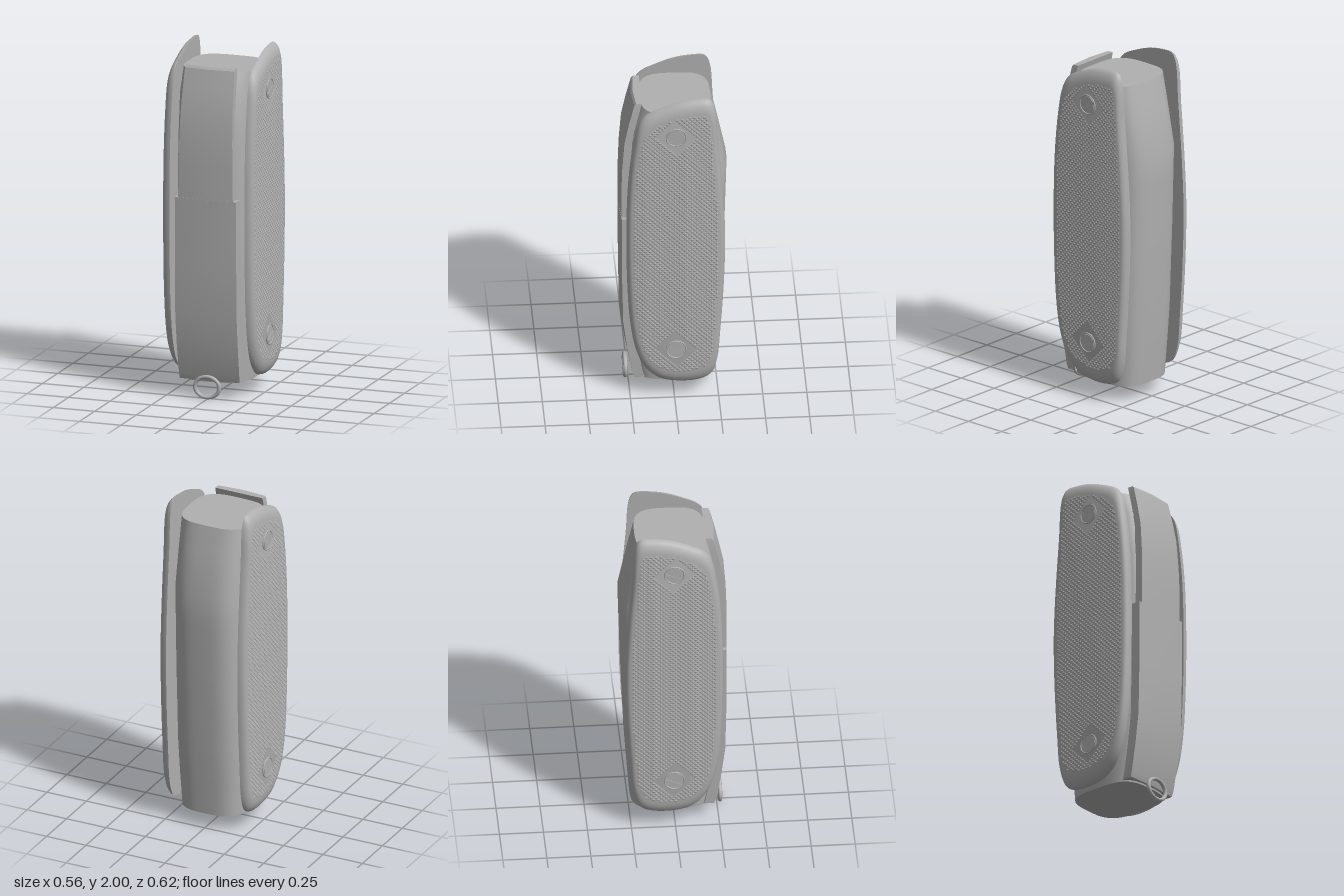
import * as THREE from 'three';
import { mergeGeometries, toCreasedNormals } from 'three/addons/utils/BufferGeometryUtils.js';

const grey = new THREE.MeshStandardMaterial({ color: 0xb0b0b0 });
grey.name = 'plain grey';

function add(parent, name, geometry) {
  const mesh = new THREE.Mesh(geometry, grey);
  mesh.name = name;
  parent.add(mesh);
  return mesh;
}

// Skin a stack of closed rings (counterclockwise seen from the last ring's end) and cap both ends.
function loft(rings, crease) {
  const n = rings[0].length, pos = [], index = [];
  rings.forEach(r => r.forEach(p => pos.push(p.x, p.y, p.z)));
  for (let k = 0; k < rings.length - 1; k++) {
    for (let i = 0; i < n; i++) {
      const a = k * n + i, b = k * n + (i + 1) % n;
      index.push(a, b, b + n, a, b + n, a + n);
    }
  }
  [0, rings.length - 1].forEach((k, end) => {
    const c = new THREE.Vector3();
    rings[k].forEach(p => c.addScaledVector(p, 1 / n));
    const ci = pos.length / 3;
    pos.push(c.x, c.y, c.z);
    for (let i = 0; i < n; i++) {
      const a = k * n + i, b = k * n + (i + 1) % n;
      end ? index.push(ci, a, b) : index.push(ci, b, a);
    }
  });
  const g = new THREE.BufferGeometry();
  g.setAttribute('position', new THREE.Float32BufferAttribute(pos, 3));
  g.setIndex(index);
  return toCreasedNormals(g, crease);
}

// Core: rounded-square sections, each [y, half width, back z, front z]
function coreGeometry() {
  const sections = [
    [0.09, 0.2, -0.245, 0.217], [0.3, 0.213, -0.26, 0.247], [0.5, 0.221, -0.274, 0.27],
    [1.0, 0.225, -0.294, 0.285], [1.3, 0.225, -0.303, 0.285], [1.48, 0.225, -0.308, 0.28],
    [1.75, 0.22, -0.252, 0.25], [1.895, 0.213, -0.217, 0.185],
  ];
  const pow = v => Math.sign(v) * Math.abs(v) ** (2 / 3.3);
  return loft(sections.map(([y, hx, zb, zf]) => Array.from({ length: 64 }, (_, i) => {
    const a = i / 64 * Math.PI * 2;
    return new THREE.Vector3(hx * pow(Math.cos(a)), y, (zb + zf) / 2 - (zf - zb) / 2 * pow(Math.sin(a)));
  })), 0.6);
}

// Front strap: shallow V sections, each [y, half width, ridge z, depth]
function strapGeometry(sections) {
  return loft(sections.map(([y, w, z, d]) => [
    [w, z - 0.012], [w, z - d], [-w, z - d], [-w, z - 0.012], [0, z],
  ].map(([x, zz]) => new THREE.Vector3(x, y, zz))), 0.4);
}

// Side panel outline as [z, y]: over the top, down the front, along the bottom, up the back
const outline = new THREE.CatmullRomCurve3([
  [-0.13, 2.0], [-0.03, 1.985], [0.08, 1.945], [0.165, 1.9], [0.205, 1.84], [0.235, 1.7], [0.262, 1.45],
  [0.272, 1.15], [0.268, 0.8], [0.25, 0.5], [0.215, 0.31], [0.165, 0.2], [0.09, 0.13], [0, 0.105],
  [-0.13, 0.108], [-0.2, 0.14], [-0.24, 0.23], [-0.262, 0.45], [-0.283, 0.8], [-0.288, 1.1],
  [-0.273, 1.4], [-0.247, 1.72], [-0.228, 1.95], [-0.2, 1.996],
].map(([z, y]) => new THREE.Vector3(0, y, z)), true).getPoints(96).slice(0, 96);
const MID_Y = 1.05, MID_Z = -0.008;

function scaledOutline(x, sy, sz) {
  return outline.map(p => new THREE.Vector3(x, MID_Y + (p.y - MID_Y) * sy, MID_Z + (p.z - MID_Z) * sz));
}

function panelGeometry(side) {
  const rings = [
    [0.226, 1, 1], [0.238, 0.998, 0.995], [0.25, 0.987, 0.983],
    [0.261, 0.97, 0.965], [0.27, 0.945, 0.935], [0.274, 0.92, 0.9],
  ].map(([x, sy, sz]) => scaledOutline(x * side, sy, sz));
  return loft(side > 0 ? rings : rings.map(r => r.reverse()), 0.6);
}

function inside(poly, y, z) {
  let hit = false;
  poly.forEach((a, i) => {
    const b = poly[(i + 1) % poly.length];
    if ((a.y > y) !== (b.y > y) && z < a.z + (y - a.y) / (b.y - a.y) * (b.z - a.z)) hit = !hit;
  });
  return hit;
}

const screws = [[1.775, -0.008], [0.34, -0.008]];

// Checkering: small pyramids over the panel face, leaving a plain diamond round each screw
function checkerGeometry(side) {
  const r = 0.014, poly = scaledOutline(0, 0.905, 0.86), cells = [];
  const stud = new THREE.ConeGeometry(r, 0.004, 4, 1, true).toNonIndexed();
  stud.computeVertexNormals();
  stud.rotateZ(-side * Math.PI / 2);
  for (let j = 0; j < 150; j++) {
    for (let i = -22 + (j % 2); i <= 22; i += 2) {
      const y = j * r, z = i * r;
      if (!inside(poly, y, z)) continue;
      if (screws.some(([sy, sz]) => Math.abs(y - sy) + Math.abs(z - sz) < 0.12)) continue;
      cells.push(stud.clone().translate(side * 0.2755, y, z));
    }
  }
  return mergeGeometries(cells);
}

// Slotted screw facing +z: base disc, rim and two half-moon faces
function makeScrew() {
  const screw = new THREE.Group();
  screw.name = 'screw';
  add(screw, 'screwBase', new THREE.CylinderGeometry(0.058, 0.06, 0.006, 40).rotateX(Math.PI / 2));
  add(screw, 'screwRim', new THREE.TorusGeometry(0.056, 0.004, 8, 40)).position.z = 0.003;
  const half = new THREE.Shape();
  const a = Math.asin(0.009 / 0.049);
  half.absarc(0, 0, 0.049, a, Math.PI - a);
  half.closePath();
  const moon = new THREE.ExtrudeGeometry(half, { depth: 0.006, bevelEnabled: false, curveSegments: 20 });
  for (const turn of [0, Math.PI]) add(screw, 'screwFace', moon).rotation.z = turn;
  return screw;
}

export function createModel() {
  const model = new THREE.Group();
  model.name = 'grip';
  add(model, 'core', coreGeometry());

  // Front strap, wide below and narrow above
  add(model, 'lowerStrap', strapGeometry([
    [0.1, 0.18, 0.236, 0.07], [0.13, 0.182, 0.246, 0.07], [0.3, 0.184, 0.276, 0.07],
    [0.48, 0.185, 0.299, 0.07], [0.8, 0.185, 0.306, 0.07], [1.172, 0.185, 0.307, 0.07],
  ]));
  add(model, 'upperStrap', strapGeometry([
    [1.12, 0.165, 0.306, 0.06], [1.35, 0.163, 0.308, 0.06], [1.5, 0.16, 0.303, 0.06],
    [1.67, 0.156, 0.29, 0.055], [1.8, 0.153, 0.263, 0.053], [1.915, 0.15, 0.234, 0.052],
    [1.928, 0.148, 0.224, 0.046],
  ]));

  // Side panels with checkering and screws
  for (const side of [1, -1]) {
    const panel = new THREE.Group();
    panel.name = side > 0 ? 'leftPanel' : 'rightPanel';
    add(panel, 'panelBoard', panelGeometry(side));
    add(panel, 'checkering', checkerGeometry(side));
    for (const [y, z] of screws) {
      const screw = makeScrew();
      screw.position.set(side * 0.274, y, z);
      screw.rotation.order = 'YXZ';
      screw.rotation.set(0, side * Math.PI / 2, side * 0.4);
      panel.add(screw);
    }
    model.add(panel);
  }

  // Lanyard ring at the foot
  const ring = add(model, 'lanyardRing', new THREE.TorusGeometry(0.073, 0.012, 12, 48).scale(1, 0.83, 1));
  ring.position.set(0, 0.0715, 0.267);
  return model;
}
